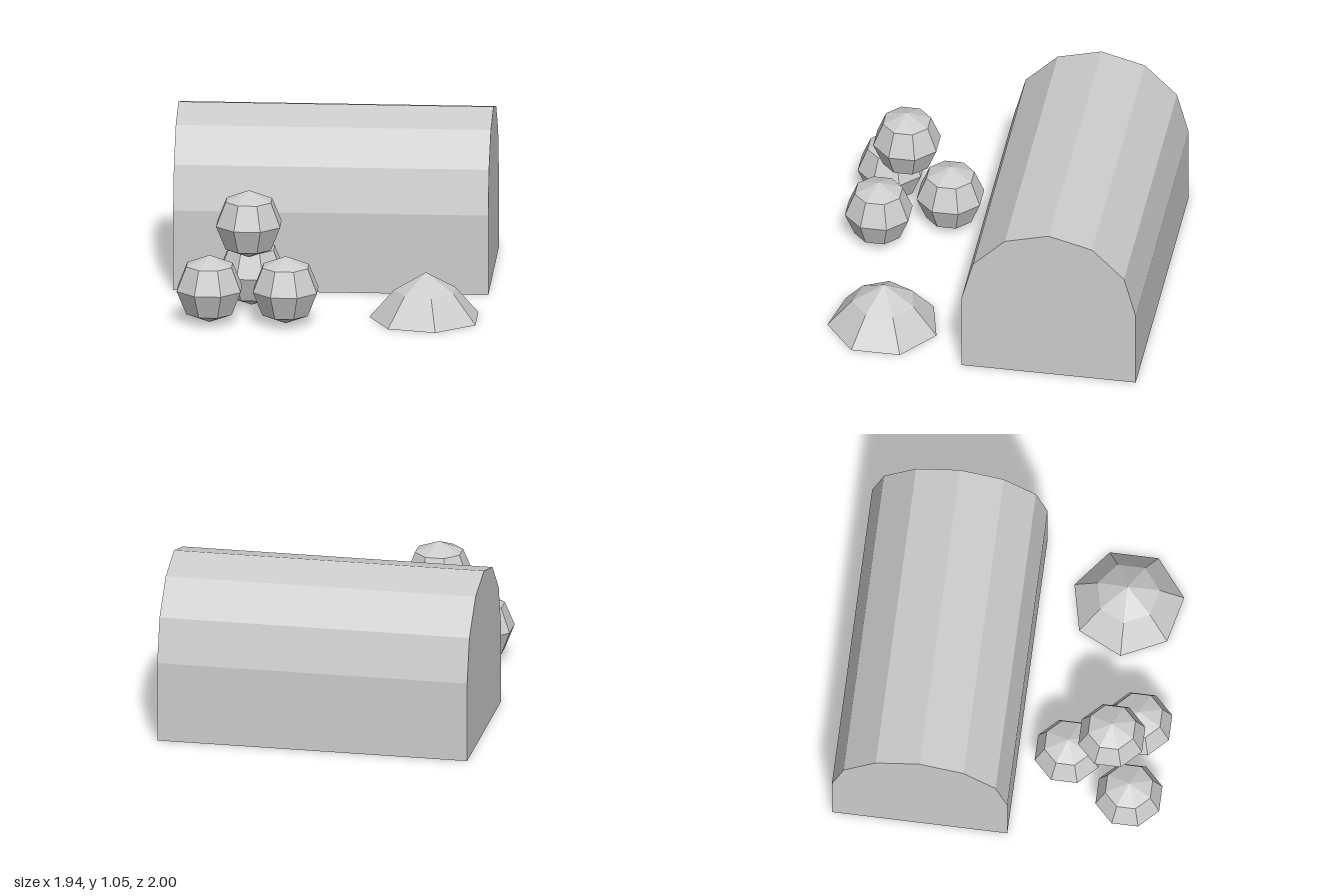
import * as THREE from 'three';

export function createModel() {
  const model = new THREE.Group();
  model.name = 'vaultedBlockWithStackAndMound';
  const grey = new THREE.MeshStandardMaterial({ color: 0xcccccc, flatShading: true });
  grey.name = 'light grey';

  const add = (name, geometry, x, y, z) => {
    const mesh = new THREE.Mesh(geometry, grey);
    mesh.name = name;
    mesh.position.set(x, y, z);
    model.add(mesh);
    return mesh;
  };

  // Vaulted block: straight walls with a six-facet half-round roof
  const radius = 0.5425, wallHeight = 0.505, length = 1.936;
  const profile = new THREE.Shape();
  profile.moveTo(-radius, 0);
  profile.lineTo(radius, 0);
  for (let i = 0; i <= 6; i++) {
    const a = (i * Math.PI) / 6;
    profile.lineTo(radius * Math.cos(a), wallHeight + radius * Math.sin(a));
  }
  profile.closePath();
  const vault = new THREE.ExtrudeGeometry(profile, { depth: length, bevelEnabled: false });
  vault.translate(0, 0, -length / 2).rotateY(Math.PI / 2);
  add('vaultedBlock', vault, 0, 0, -0.4575);

  // Stack of faceted balls: three below, one on top
  const ball = new THREE.SphereGeometry(0.213, 8, 4).rotateY(Math.PI / 8);
  add('rightBall', ball, -0.702, 0.215, 0.803);
  add('leftBall', ball, -0.234, 0.215, 0.803);
  add('backBall', ball, -0.468, 0.215, 0.397);
  add('topBall', ball, -0.468, 0.593, 0.667);

  // Seven-sided mound with a closed base
  const moundProfile = [[0, 0], [0.348, 0], [0.196, 0.175], [0, 0.29]]
    .map(([r, y]) => new THREE.Vector2(r, y));
  add('mound', new THREE.LatheGeometry(moundProfile, 7, -Math.PI / 2), 0.617, 0, 0.625);

  return model;
}
